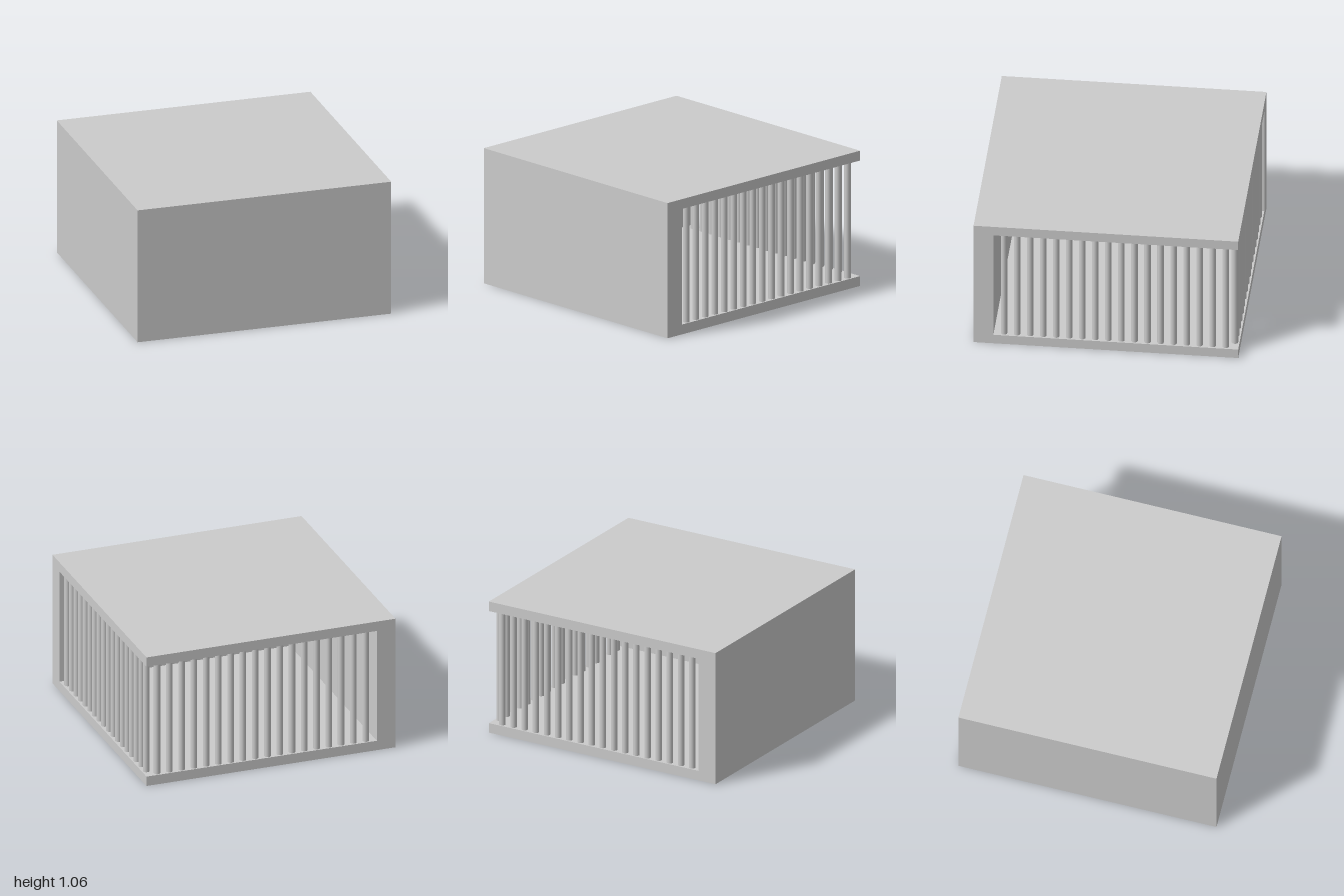
import * as THREE from 'three';

const HEIGHT = 1.06, SLAB = 0.077, WALL = 0.15;
const BAR_RADIUS = 0.025, BAR_COUNT = 18, BAR_LINE = 0.965;
const FIRST_BAR = 0.773, LAST_BAR = -0.902;

export function createModel() {
  const group = new THREE.Group();
  const material = new THREE.MeshStandardMaterial({ color: 0xcccccc });
  const innerHeight = HEIGHT - 2 * SLAB;

  function add(name, geometry, x, y, z, parent = group) {
    const mesh = new THREE.Mesh(geometry, material);
    mesh.name = name;
    mesh.position.set(x, y, z);
    parent.add(mesh);
    return mesh;
  }

  // Floor and roof slabs
  const slab = new THREE.BoxGeometry(2, SLAB, 2);
  add('floor', slab, 0, SLAB / 2, 0);
  add('roof', slab, 0, HEIGHT - SLAB / 2, 0);

  // Solid L-shaped wall along the front and the -x side (plan drawn as x, -z)
  const inner = 1 - WALL;
  const plan = new THREE.Shape([
    [-1, -1], [1, -1], [1, -inner], [-inner, -inner], [-inner, 1], [-1, 1],
  ].map(([x, y]) => new THREE.Vector2(x, y)));
  const wall = new THREE.ExtrudeGeometry(plan, { depth: innerHeight, bevelEnabled: false });
  wall.rotateX(-Math.PI / 2);
  add('cornerWall', wall, 0, SLAB, 0);

  // Rows of round bars closing the two open sides
  const bar = new THREE.CylinderGeometry(BAR_RADIUS, BAR_RADIUS, innerHeight, 16);
  const sideBars = new THREE.Group();
  sideBars.name = 'sideBars';
  const backBars = new THREE.Group();
  backBars.name = 'backBars';
  group.add(sideBars, backBars);
  for (let i = 0; i < BAR_COUNT; i++) {
    const t = THREE.MathUtils.lerp(FIRST_BAR, LAST_BAR, i / (BAR_COUNT - 1));
    add('bar', bar, BAR_LINE, HEIGHT / 2, t, sideBars);
    add('bar', bar, -t, HEIGHT / 2, -BAR_LINE, backBars);
  }

  return group;
}
